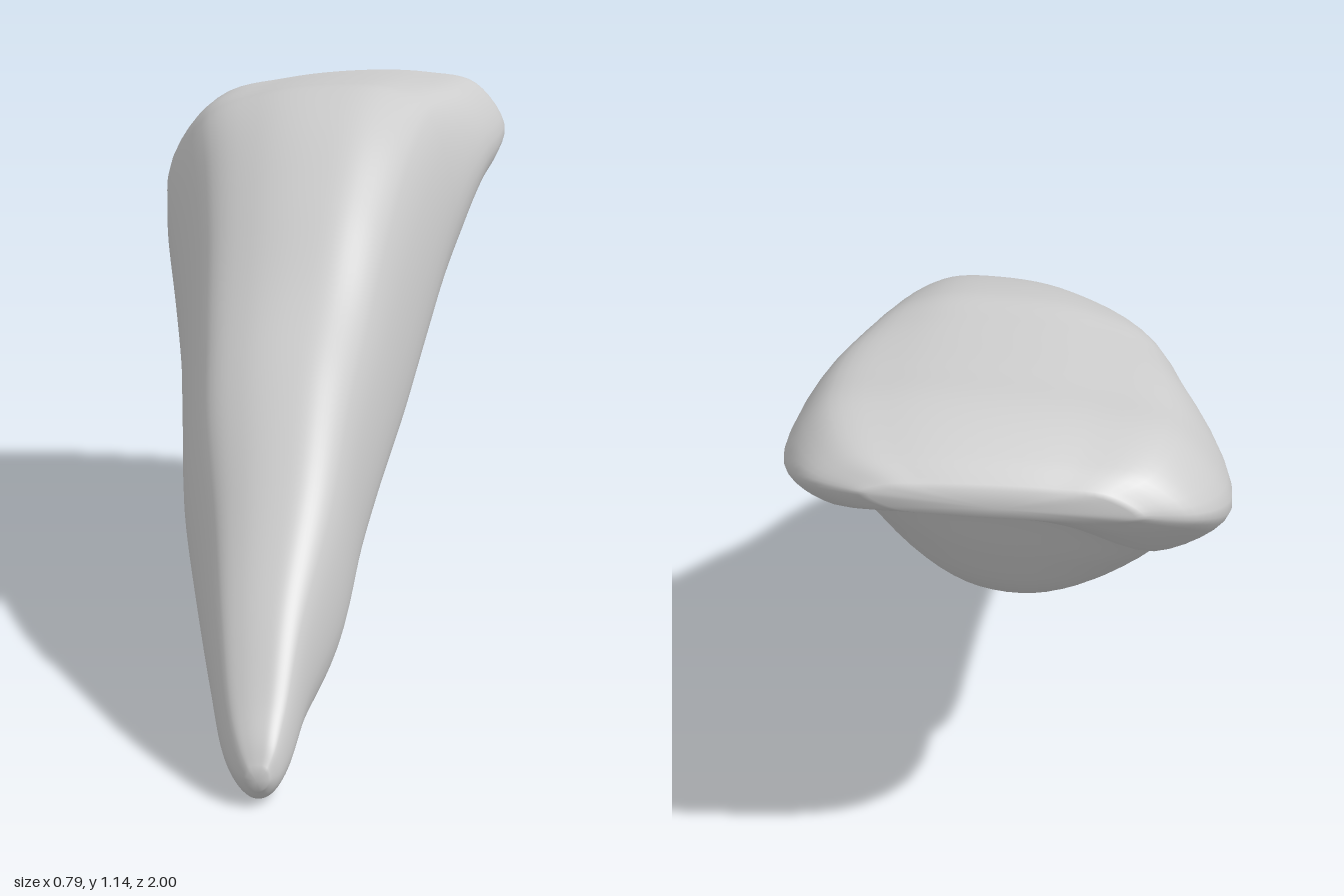
import * as THREE from 'three';

// Stations from root tip to biting edge:
// z, xLow, xHigh, yTop, yBottom, y of -x flank, y of +x flank, scoop of the inner crown face
const STATIONS = [
  [0.995, 0.14, 0.18, 0.075, 0.035, 0.055, 0.055, 0],
  [0.97, 0.112, 0.196, 0.115, 0.01, 0.06, 0.06, 0],
  [0.92, 0.08, 0.207, 0.17, 0.0, 0.08, 0.08, 0],
  [0.8, 0.03, 0.22, 0.31, 0.02, 0.16, 0.16, 0],
  [0.6, -0.04, 0.25, 0.5, 0.05, 0.24, 0.25, 0],
  [0.4, -0.11, 0.255, 0.66, 0.13, 0.36, 0.36, 0],
  [0.2, -0.16, 0.265, 0.79, 0.21, 0.46, 0.45, 0],
  [0, -0.21, 0.28, 0.95, 0.285, 0.56, 0.54, 0],
  [-0.2, -0.27, 0.3, 1.075, 0.36, 0.66, 0.68, 0],
  [-0.4, -0.335, 0.325, 1.133, 0.46, 0.77, 0.83, 0.08],
  [-0.5, -0.362, 0.35, 1.135, 0.56, 0.81, 0.91, 0.25],
  [-0.6, -0.385, 0.375, 1.135, 0.7, 0.86, 0.96, 0.6],
  [-0.72, -0.4, 0.39, 1.135, 0.775, 0.89, 0.98, 1],
  [-0.84, -0.39, 0.385, 1.13, 0.845, 0.925, 1.0, 1],
  [-0.94, -0.335, 0.33, 1.085, 0.93, 0.97, 1.025, 0.8],
  [-0.99, -0.23, 0.22, 1.045, 0.985, 1.0, 1.03, 0.3],
];

// Cross-section outline: position across the width, then how far the outline
// leaves the flank line in the root and in the crown
const UPPER = [[0.12, 0.74, 0.67], [0.32, 0.93, 0.88], [0.56, 1, 1], [0.76, 0.98, 0.99], [0.91, 0.8, 0.82]];
const LOWER = [[0.9, 0.55, 0.44], [0.68, 0.93, 0.27], [0.42, 0.98, 0.38], [0.17, 0.66, 0.98]];

function section([z, x0, x1, yT, yB, yL, yR, scoop]) {
  const point = (t, end, root, crown) => {
    const flank = yL + (yR - yL) * t;
    const reach = root + (crown - root) * scoop;
    return new THREE.Vector3(x0 + (x1 - x0) * t, flank + (end - flank) * reach, z);
  };
  return [
    point(0, yT, 0, 0),
    ...UPPER.map(([t, root, crown]) => point(t, yT, root, crown)),
    point(1, yT, 0, 0),
    ...LOWER.map(([t, root, crown]) => point(t, yB, root, crown)),
  ];
}

// Smooth closed skin lofted through the sections, closed with a pole at each end
function loft(sections, tip, edge, rows, sides) {
  const rails = sections[0].map((_, k) => new THREE.CatmullRomCurve3(sections.map((s) => s[k])));
  const positions = [];
  const index = [];
  for (let i = 0; i <= rows; i++) {
    const ring = new THREE.CatmullRomCurve3(rails.map((r) => r.getPoint(i / rows)), true);
    for (let j = 0; j < sides; j++) positions.push(...ring.getPoint(j / sides).toArray());
  }
  const tipId = positions.length / 3;
  positions.push(...tip, ...edge);
  for (let j = 0; j < sides; j++) {
    const n = (j + 1) % sides;
    for (let i = 0; i < rows; i++) {
      const a = i * sides + j, b = i * sides + n;
      index.push(a, b, a + sides, b, b + sides, a + sides);
    }
    index.push(tipId, n, j);
    index.push(tipId + 1, rows * sides + j, rows * sides + n);
  }
  const geometry = new THREE.BufferGeometry();
  geometry.setAttribute('position', new THREE.Float32BufferAttribute(positions, 3));
  geometry.setIndex(index);
  geometry.computeVertexNormals();
  return geometry;
}

export function createModel() {
  const group = new THREE.Group();
  group.name = 'incisorTooth';
  const enamel = new THREE.MeshStandardMaterial({ color: 0xcccccc });
  enamel.name = 'pale grey enamel';

  // Crown and root as one continuous surface
  const tooth = new THREE.Mesh(
    loft(STATIONS.map(section), [0.16, 0.055, 1], [0, 1.015, -1], 90, 66),
    enamel,
  );
  tooth.name = 'crownAndRoot';
  group.add(tooth);
  return group;
}
